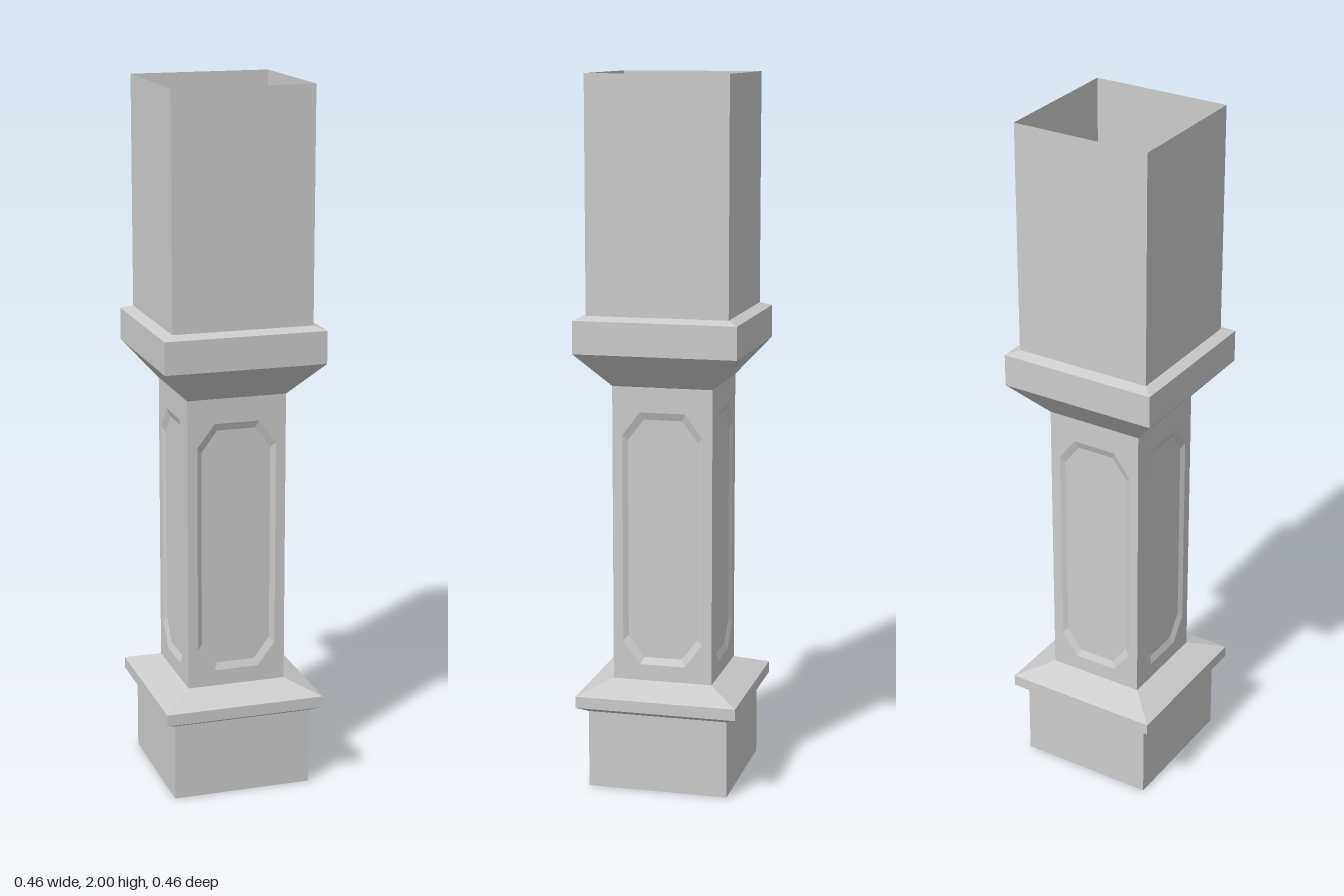
import * as THREE from 'three';

const material = new THREE.MeshStandardMaterial({
  color: 0xcccccc, flatShading: true, side: THREE.DoubleSide,
});

const SHAFT = 0.1425, SHAFT_BOTTOM = 0.306, SHAFT_TOP = 1.147, RECESS = 0.008;

function addMesh(parent, geometry, name) {
  const flat = geometry.index ? geometry.toNonIndexed() : geometry;
  flat.computeVertexNormals();
  const mesh = new THREE.Mesh(flat, material);
  mesh.name = name;
  parent.add(mesh);
  return mesh;
}

// Open square tube swept from a profile of [half width, height]
function squareTube(profile) {
  const points = profile.map(([w, y]) => new THREE.Vector2(w * Math.SQRT2, y));
  return new THREE.LatheGeometry(points, 4).rotateY(Math.PI / 4);
}

// Rectangle with cut corners, counter-clockwise
function octagon(w, bottom, top, cutX, cutY) {
  return [
    [w - cutX, bottom], [w, bottom + cutY], [w, top - cutY], [w - cutX, top],
    [cutX - w, top], [-w, top - cutY], [-w, bottom + cutY], [cutX - w, bottom],
  ].map(([x, y]) => new THREE.Vector2(x, y));
}

// Sloping ring from an outer outline to a deeper inner outline
function bevelRing(outer, inner, zOuter, zInner) {
  const positions = [];
  outer.forEach((a, i) => {
    const j = (i + 1) % outer.length;
    const b = outer[j], c = inner[j], d = inner[i];
    positions.push(a.x, a.y, zOuter, b.x, b.y, zOuter, c.x, c.y, zInner);
    positions.push(a.x, a.y, zOuter, c.x, c.y, zInner, d.x, d.y, zInner);
  });
  const geometry = new THREE.BufferGeometry();
  geometry.setAttribute('position', new THREE.Float32BufferAttribute(positions, 3));
  return geometry;
}

// One shaft side with its recessed panel, facing +z
function shaftSide() {
  const side = new THREE.Group();
  side.name = 'shaftSide';
  const outer = octagon(0.114, 0.352, 1.076, 0.05, 0.066);
  const inner = octagon(0.1, 0.372, 1.055, 0.045, 0.06);

  const face = new THREE.Shape([
    new THREE.Vector2(-SHAFT, SHAFT_BOTTOM), new THREE.Vector2(SHAFT, SHAFT_BOTTOM),
    new THREE.Vector2(SHAFT, SHAFT_TOP), new THREE.Vector2(-SHAFT, SHAFT_TOP),
  ]);
  face.holes.push(new THREE.Path(outer.slice().reverse()));

  addMesh(side, new THREE.ShapeGeometry(face).translate(0, 0, SHAFT), 'shaftFace');
  addMesh(side, bevelRing(outer, inner, SHAFT, SHAFT - RECESS), 'panelBevel');
  addMesh(side, new THREE.ShapeGeometry(new THREE.Shape(inner))
    .translate(0, 0, SHAFT - RECESS), 'recessedPanel');
  return side;
}

export function createModel() {
  const model = new THREE.Group();
  model.name = 'hollowSquarePost';

  // Plinth and lower moulding
  addMesh(model, squareTube([[0.2, 0], [0.2, 0.221]]), 'plinth');
  addMesh(model, squareTube([
    [0.2, 0.221], [0.23, 0.237], [0.23, 0.27], [SHAFT, SHAFT_BOTTOM],
  ]), 'lowerMoulding');

  // Panelled shaft
  for (let i = 0; i < 4; i++) {
    const side = shaftSide();
    side.rotation.y = i * Math.PI / 2;
    model.add(side);
  }

  // Upper moulding and plain top section
  addMesh(model, squareTube([
    [SHAFT, SHAFT_TOP], [0.23, 1.245], [0.23, 1.337], [0.2, 1.348],
  ]), 'upperMoulding');
  addMesh(model, squareTube([[0.2, 1.348], [0.2, 2]]), 'topSection');

  return model;
}
